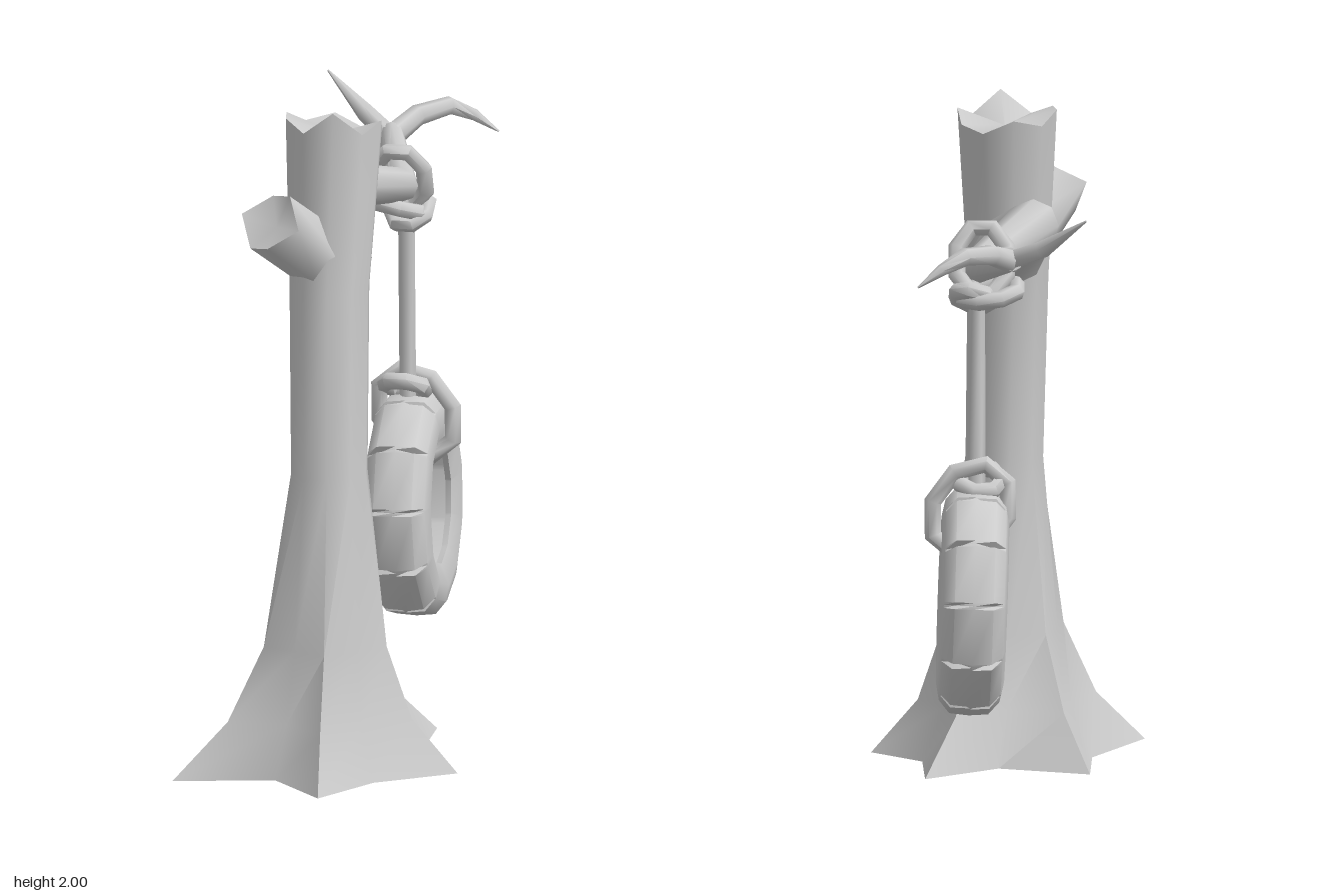
import * as THREE from 'three';
import { toCreasedNormals } from 'three/addons/utils/BufferGeometryUtils.js';

const V = (x, y, z) => new THREE.Vector3(x, y, z);
const material = new THREE.MeshStandardMaterial({ color: 0xcccccc });
const openMaterial = new THREE.MeshStandardMaterial({ color: 0xcccccc, side: THREE.DoubleSide });

// Skin a list of rings (counter-clockwise about the travel direction);
// start / end are optional centre points that cap the ends with a fan.
function loft(rings, { closed = false, start, end, crease = 1.1 } = {}) {
  const n = rings[0].length, m = rings.length, pts = rings.flat(), index = [];
  for (let i = 0; i < (closed ? m : m - 1); i++) {
    for (let j = 0; j < n; j++) {
      const a = i * n + j, b = i * n + (j + 1) % n;
      const next = ((i + 1) % m) * n, d = next + j, c = next + (j + 1) % n;
      index.push(a, b, c, a, c, d);
    }
  }
  const fan = (base, centre, flip) => {
    const k = pts.push(centre) - 1;
    for (let j = 0; j < n; j++) {
      const a = base + j, b = base + (j + 1) % n;
      index.push(...(flip ? [b, a, k] : [a, b, k]));
    }
  };
  if (start) fan(0, start, true);
  if (end) fan((m - 1) * n, end, false);
  const geo = new THREE.BufferGeometry().setFromPoints(pts);
  geo.setIndex(index);
  return toCreasedNormals(geo.toNonIndexed(), crease);
}

// Rings of a tapering tube along a path
function tubeRings(path, radius, sides, ref, closed = false) {
  const m = path.length;
  return path.map((p, i) => {
    const prev = closed ? path[(i + m - 1) % m] : path[Math.max(i - 1, 0)];
    const next = closed ? path[(i + 1) % m] : path[Math.min(i + 1, m - 1)];
    const t = next.clone().sub(prev).normalize();
    const u = ref.clone().cross(t).normalize(), v = t.clone().cross(u);
    const r = Array.isArray(radius) ? radius[i] : radius;
    return Array.from({ length: sides }, (_, j) => {
      const a = (j / sides) * Math.PI * 2;
      return p.clone().addScaledVector(u, r * Math.cos(a)).addScaledVector(v, r * Math.sin(a));
    });
  });
}

function limb(path, radii, sides) {
  return loft(tubeRings(path, radii, sides, V(0, 1, 0)), { start: path[0], end: path[path.length - 1] });
}

// Closed loop of rope: an ellipse spanned by the half axes a and b
function ropeLoop(centre, a, b, count = 8) {
  const path = Array.from({ length: count }, (_, i) => {
    const t = ((i + 0.5) / count) * Math.PI * 2;
    return centre.clone().addScaledVector(a, Math.cos(t)).addScaledVector(b, Math.sin(t));
  });
  return loft(tubeRings(path, 0.026, 6, a.clone().cross(b).normalize(), true), { closed: true });
}

// Trunk: star-shaped roots, open underneath, blending up into a ten-sided stem with a broken top
function trunkGeometry() {
  const star = [[0.25, -0.01], [0.03, 0.18], [-0.24, 0.07], [-0.25, 0.38], [-0.41, 0.72],
    [-0.11, 0.66], [0.05, 0.835], [0.18, 0.63], [0.405, 0.48], [0.255, 0.31]];
  const jag = [-0.07, -0.03, -0.05, -0.01, -0.01, -0.04, 0.03, -0.04, -0.01, -0.05];
  // height, root blend, centre x, centre z, radius
  const levels = [[0, 1, 0, 0.45, 0.13], [0.16, 0.5, 0, 0.45, 0.13], [0.38, 0.17, 0.01, 0.455, 0.14],
    [0.9, 0, 0.01, 0.44, 0.117], [1.45, 0, 0, 0.385, 0.122], [1.97, 0, 0.003, 0.33, 0.15]];
  const rings = levels.map(([y, mix, cx, cz, r], i) => star.map(([sx, sz], k) => {
    const a = THREE.MathUtils.degToRad(-61 - 36 * k);
    const top = i === levels.length - 1;
    return V(
      THREE.MathUtils.lerp(cx + r * Math.cos(a), sx, mix),
      y + (top ? jag[k] : 0),
      THREE.MathUtils.lerp(cz + r * Math.sin(a) * (top ? 0.78 : 1), sz, mix));
  }));
  return loft(rings, { end: V(0.01, 1.91, 0.33), crease: 1 });
}

// Snapped-off side branch with a splintered end
function stubGeometry() {
  const path = [V(-0.035, 1.555, 0.41), V(-0.14, 1.69, 0.575)];
  const rings = tubeRings(path, [0.1, 0.1], 6, V(0, 1, 0));
  const axis = path[1].clone().sub(path[0]).normalize();
  rings[1].forEach((p, j) => p.addScaledVector(axis, j % 2 ? 0.025 : -0.015));
  return loft(rings, { start: path[0], end: path[1].clone().addScaledVector(axis, -0.03) });
}

// Hollow tyre about the x axis, with small wedge-shaped cuts along both tread edges
function tyreGeometry() {
  const half = [[0.058, 0.338], [0.09, 0.3], [0.1, 0.25], [0.078, 0.185], [0.06, 0.19], [0.07, 0.28]];
  const left = half.map(([x, r]) => [-x, r]);
  const profile = [[0, 0.343], ...left, ...half.reverse()];
  const rings = [], count = 11;
  for (let i = 0; i < count; i++) {
    for (const step of [-1, 0, 1]) {
      const a = THREE.MathUtils.degToRad(15) + (i / count) * Math.PI * 2 + step * 0.03;
      rings.push(profile.map(([x, r]) => {
        const cut = step === 0 && Math.abs(x) === 0.058 ? 0.025 : 0;
        return V(x, (r - cut) * Math.cos(a), (r - cut) * Math.sin(a));
      }));
    }
  }
  return loft(rings, { closed: true, crease: 0.8 });
}

export function createModel() {
  const model = new THREE.Group();
  const add = (name, geometry, parent = model, mat = material) => {
    const mesh = new THREE.Mesh(geometry, mat);
    mesh.name = name;
    parent.add(mesh);
    return mesh;
  };

  // Tree
  const tree = new THREE.Group();
  tree.name = 'tree';
  model.add(tree);
  add('trunk', trunkGeometry(), tree, openMaterial);
  add('stubBranch', stubGeometry(), tree);
  add('mainBranch', limb(
    [V(0.005, 1.525, 0.335), V(-0.07, 1.66, 0.02), V(0.09, 1.59, -0.28), V(0, 1.66, -0.6)],
    [0.112, 0.078, 0.053, 0.036], 8), tree);
  add('rightTwig', limb(
    [V(0.01, 1.65, -0.57), V(-0.09, 1.7, -0.66), V(-0.22, 1.8, -0.75)], [0.03, 0.028, 0.003], 6), tree);
  add('leftTwig', limb(
    [V(0, 1.65, -0.57), V(0.06, 1.69, -0.7), V(0.14, 1.7, -0.79), V(0.21, 1.665, -0.822), V(0.28, 1.615, -0.835)],
    [0.036, 0.032, 0.028, 0.018, 0.003], 6), tree);

  // Rope with its loops and knots
  const rope = new THREE.Group();
  rope.name = 'rope';
  model.add(rope);
  const hang = [V(0.1, 1.52, -0.31), V(0.1, 0.93, -0.335)];
  add('hangingRope', loft(tubeRings(hang, 0.025, 6, V(0, 0, 1)), { start: hang[0], end: hang[1] }), rope);
  add('branchLoop', ropeLoop(V(0.085, 1.605, -0.293), V(0.08, 0, 0), V(0, 0.1, 0.045)), rope);
  add('upperKnot', ropeLoop(V(0.06, 1.515, -0.32), V(0.085, -0.015, 0.01), V(0, 0.015, 0.07)), rope);
  add('upperKnotWrap', ropeLoop(V(0.11, 1.5, -0.325), V(0.055, 0.01, 0), V(0, -0.03, 0.055), 7), rope);
  add('tyreLoop', ropeLoop(V(0.12, 0.87, -0.36), V(0.12, -0.03, 0), V(0, 0.132, 0.005)), rope);
  add('lowerKnot', ropeLoop(V(0.09, 0.955, -0.34), V(0.065, 0, 0.01), V(0, 0.03, 0.055), 7), rope);

  // Swing seat
  const tyre = add('tyre', tyreGeometry());
  tyre.position.set(0.113, 0.593, -0.36);
  tyre.rotation.z = 0.035;

  return model;
}
